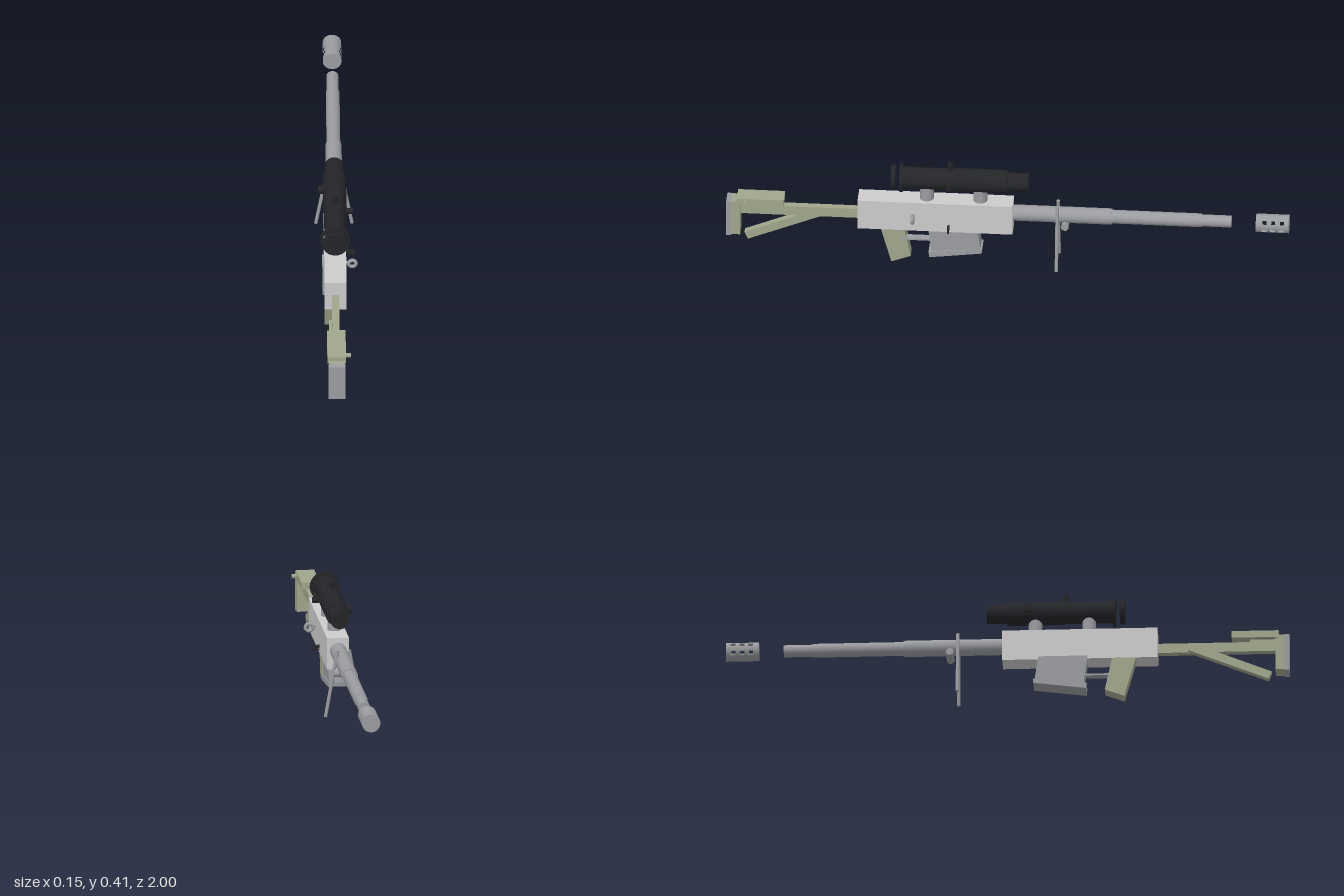
import * as THREE from 'three';

const CX = -0.006; // centre line of the long parts
const mat = (color) => new THREE.MeshStandardMaterial({ color });
const light = mat(0xcccccc), steel = mat(0x9a9ca0), olive = mat(0xa0a68c), black = mat(0x242528);
const wall = new THREE.MeshStandardMaterial({ color: 0x9a9ca0, side: THREE.DoubleSide });

export function createModel() {
  const root = new THREE.Group();

  function add(name, geometry, material, x = 0, y = 0, z = 0, parent = root) {
    const mesh = new THREE.Mesh(geometry, material);
    mesh.name = name;
    mesh.position.set(x, y, z);
    parent.add(mesh);
    return mesh;
  }
  // Box given by its limits
  function box(name, material, [x0, x1], [y0, y1], [z0, z1]) {
    return add(name, new THREE.BoxGeometry(x1 - x0, y1 - y0, z1 - z0), material,
      (x0 + x1) / 2, (y0 + y1) / 2, (z0 + z1) / 2);
  }
  // Cylinder between two points
  function rod(name, material, a, b, r, sides = 24) {
    const from = new THREE.Vector3(...a), to = new THREE.Vector3(...b);
    const dir = to.clone().sub(from);
    const mesh = add(name, new THREE.CylinderGeometry(r, r, dir.length(), sides), material);
    mesh.position.copy(from).add(to).multiplyScalar(0.5);
    mesh.quaternion.setFromUnitVectors(new THREE.Vector3(0, 1, 0), dir.normalize());
    return mesh;
  }
  const along = (name, material, y, z0, z1, r, sides = 32) =>
    rod(name, material, [CX, y, z0], [CX, y, z1], r, sides);
  // Side outline of [z, y] points, extruded across the width
  function slab(name, material, points, x0, x1) {
    const shape = new THREE.Shape(points.map(([z, y]) => new THREE.Vector2(z, y)));
    const g = new THREE.ExtrudeGeometry(shape, { depth: x1 - x0, bevelEnabled: false });
    g.translate(0, 0, -x1).rotateY(-Math.PI / 2);
    g.translate(x0 + x1, 0, 0);
    return add(name, g, material);
  }

  // Receiver
  box('receiver', light, [-0.045, 0.033], [0.149, 0.264], [-0.019, 0.532]);

  // Stepped barrel
  const axis = 0.218;
  along('barrelRear', steel, axis, -0.01, -0.37, 0.029);
  along('barrelMiddle', steel, axis, -0.37, -0.69, 0.0245);
  along('barrelTip', steel, axis, -0.69, -0.795, 0.0215);

  // Hollow muzzle brake with three slots in each of four rows
  const brake = new THREE.Group();
  brake.name = 'muzzleBrake';
  root.add(brake);
  const R = 0.033;
  function arc(name, z0, z1, a0, a1) {
    const g = new THREE.CylinderGeometry(R, R, z1 - z0, Math.ceil((a1 - a0) / 11), 1, true,
      THREE.MathUtils.degToRad(a0), THREE.MathUtils.degToRad(a1 - a0));
    add(name, g.rotateX(Math.PI / 2), wall, CX, axis, (z0 + z1) / 2, brake);
  }
  for (const z of [-0.883, -1]) {
    add('brakeEnd', new THREE.CircleGeometry(R, 32), wall, CX, axis, z, brake);
  }
  let start = -1;
  for (const z of [-0.974, -0.943, -0.912]) {
    arc('brakeBand', start, z - 0.009, 0, 360);
    for (const [a0, a1] of [[73, 107], [133, 227], [253, 287], [313, 407]]) {
      arc('brakeRib', z - 0.009, z + 0.009, a0, a1);
    }
    start = z + 0.009;
  }
  arc('brakeBand', start, -0.883, 0, 360);

  // Bipod
  rod('bipodLegRight', steel, [-0.070, 0.02, -0.177], [-0.027, 0.262, -0.177], 0.0062, 12);
  rod('bipodLegLeft', steel, [0.058, 0.02, -0.177], [0.015, 0.262, -0.177], 0.0062, 12);
  rod('bipodPivot', steel, [-0.045, 0.187, -0.205], [0.032, 0.187, -0.205], 0.0135);

  // Scope tube, eyepiece, front ring and lens
  const sy = 0.345;
  along('scopeTubeRear', black, sy, 0.2, 0, 0.0415);
  along('scopeTubeFront', black, sy, 0.375, 0.2, 0.0385);
  along('scopeEyepiece', black, sy, 0, -0.075, 0.033);
  along('scopeLens', black, sy, 0.415, 0.398, 0.0445);
  const ring = new THREE.Shape().absarc(0, 0, 0.053, 0, Math.PI * 2);
  ring.holes.push(new THREE.Path().absarc(0, 0, 0.044, 0, Math.PI * 2, true));
  add('scopeRing', new THREE.ExtrudeGeometry(ring, { depth: 0.01, bevelEnabled: false, curveSegments: 24 }),
    black, CX, sy, 0.373);

  // Scope knobs and mounts
  rod('topKnob', black, [CX, 0.375, 0.205], [CX, 0.41, 0.205], 0.0105, 16);
  rod('leftKnob', black, [0.02, sy, 0.205], [0.059, sy, 0.205], 0.0105, 16);
  rod('rightKnob', black, [-0.03, sy, 0.075], [-0.064, sy, 0.075], 0.015, 16);
  for (const z of [0.288, 0.098]) {
    rod('scopeMount', steel, [CX, 0.255, z], [CX, 0.325, z], 0.0245);
  }

  // Bolt handle ring and side pins
  rod('boltStem', steel, [0.028, 0.214, 0.335], [0.045, 0.214, 0.335], 0.005, 12);
  add('boltRing', new THREE.TorusGeometry(0.013, 0.0065, 12, 24), steel, 0.055, 0.209, 0.335);
  for (const y of [0.162, 0.169, 0.176]) {
    box('sidePin', black, [0.03, 0.064], [y - 0.002, y + 0.002], [0.205, 0.212]);
  }

  // Magazine with a lipped floor plate
  slab('magazine', steel, [[0.284, 0.16], [0.109, 0.16], [0.096, 0.07], [0.27, 0.05]], -0.035, 0.024);
  slab('magazineFloor', steel, [[0.281, 0.052], [0.09, 0.073], [0.092, 0.055], [0.278, 0.031]], -0.039, 0.028);

  // Grip and trigger guard
  slab('grip', olive, [[0.457, 0.155], [0.372, 0.155], [0.345, 0.026], [0.414, 0]], -0.031, 0.018);
  box('triggerGuard', steel, [-0.02, 0.008], [0.094, 0.101], [0.27, 0.385]);

  // Skeleton stock
  box('stockBar', olive, [-0.0195, 0.0065], [0.176, 0.212], [0.53, 0.96]);
  slab('stockStrut', olive, [[0.72, 0.18], [0.64, 0.18], [0.925, 0.063], [0.937, 0.09]], -0.019, 0.007);
  box('cheekRest', olive, [-0.039, 0.027], [0.221, 0.247], [0.795, 0.962]);
  box('cheekRestPost', olive, [-0.0195, 0.0065], [0.205, 0.225], [0.86, 0.96]);
  rod('cheekRestScrew', olive, [0.02, 0.234, 0.93], [0.045, 0.234, 0.93], 0.0075, 16);
  box('buttFrame', olive, [-0.034, 0.023], [0.097, 0.232], [0.95, 0.982]);
  box('buttPad', steel, [-0.036, 0.025], [0.093, 0.232], [0.982, 1]);

  return root;
}
